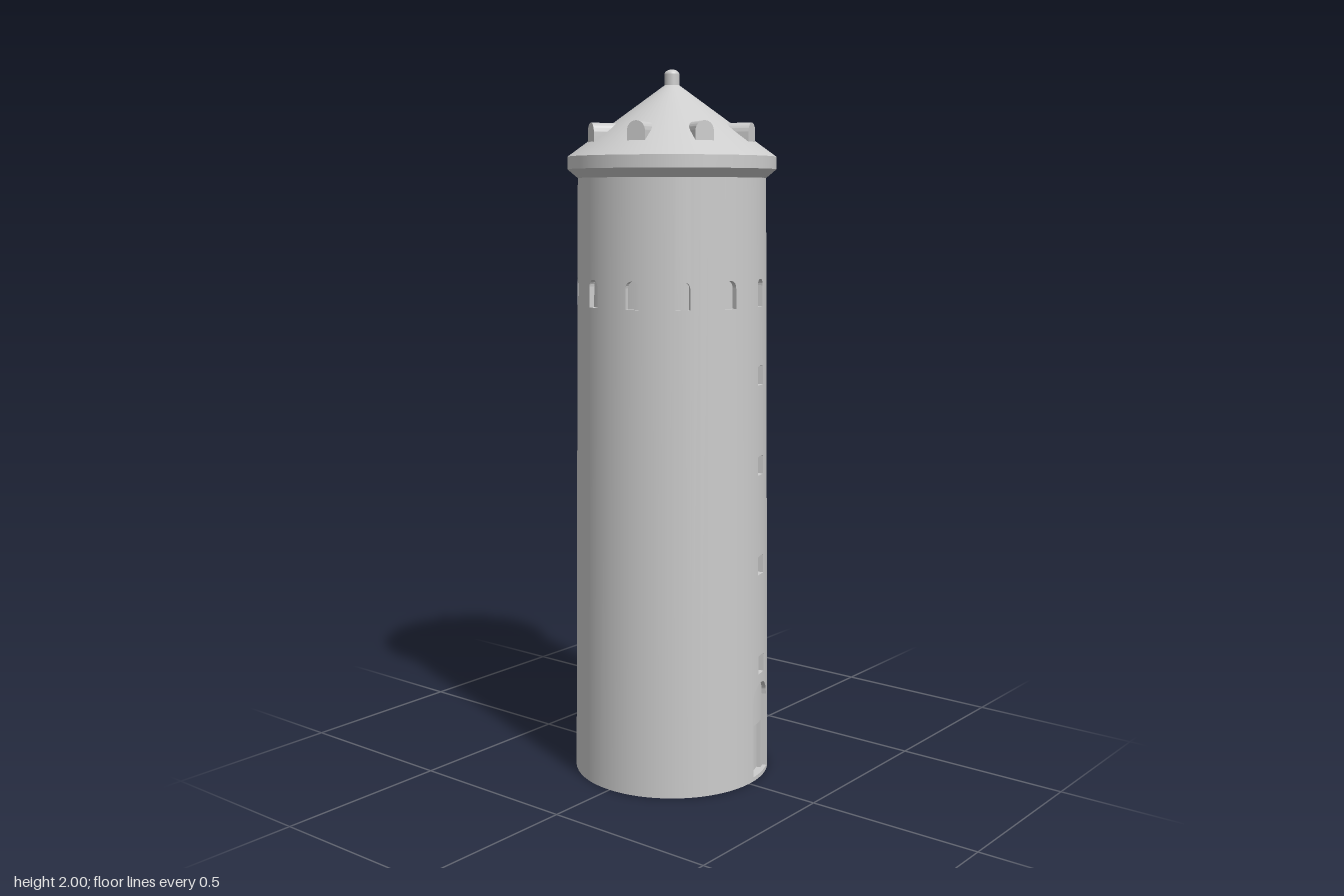
import * as THREE from 'three';
import { toCreasedNormals } from 'three/addons/utils/BufferGeometryUtils.js';

const rad = THREE.MathUtils.degToRad;
const WALL_TOP = 1.71;
const radiusAt = (y) => 0.282 - 0.0115 * y;

// Point on the tapered wall: angle in degrees from the front towards +x
function wallPoint(angle, y, depth) {
  const r = radiusAt(y) - depth;
  return [r * Math.sin(rad(angle)), y, r * Math.cos(rad(angle))];
}

// Recessed opening; rise is the height of its arched head
function opening(angle, half, bottom, spring, rise, depth, inner = []) {
  return {
    angle, half, depth, inner,
    lo: () => bottom,
    hi: (a) => spring + rise * Math.sqrt(Math.max(0, 1 - ((a - angle) / half) ** 2)),
  };
}

function makeOpenings() {
  const list = [];
  // Doorway with a smaller door set into it
  const door = opening(15, 6.2, 0.012, 0.155, 0, 0.012);
  list.push(opening(15, 10.8, 0.012, 0.228, 0.052, 0.012, [door]));
  // Two columns of small stair windows
  for (const angle of [15, 75]) {
    for (const y of [0.335, 0.625, 0.91, 1.163]) {
      list.push(opening(angle, 4.2, y - 0.027, y + 0.024, 0.003, 0.015));
    }
  }
  // Ring of arched windows
  for (let i = 0; i < 12; i++) list.push(opening(15 + 30 * i, 4.2, 1.354, 1.411, 0.019, 0.015));
  return list;
}

// Wall made of full-height columns, stepping inwards at each opening
function wallGeometries(openings) {
  const smooth = { pos: [], nor: [] };
  const reveal = { pos: [] };

  const pushQuad = (target, p) => {
    for (const i of [0, 1, 2, 0, 2, 3]) {
      target.pos.push(...p[i]);
      if (target.nor) {
        const l = Math.hypot(p[i][0], p[i][2]);
        target.nor.push(p[i][0] / l, 0, p[i][2] / l);
      }
    }
  };

  const face = (a, b, lo, hi, d) => pushQuad(smooth, [
    wallPoint(a, lo(a), d), wallPoint(b, lo(b), d), wallPoint(b, hi(b), d), wallPoint(a, hi(a), d),
  ]);

  const fill = (a, b, lo, hi, depth, holes) => {
    const mid = (a + b) / 2;
    let from = lo;
    for (const o of holes.filter((h) => Math.abs(mid - h.angle) < h.half)) {
      const d = depth + o.depth;
      face(a, b, from, o.lo, depth);
      fill(a, b, o.lo, o.hi, d, o.inner);
      // Sill and head
      const strip = (f) => [wallPoint(a, f(a), depth), wallPoint(b, f(b), depth),
        wallPoint(b, f(b), d), wallPoint(a, f(a), d)];
      pushQuad(reveal, strip(o.lo));
      pushQuad(reveal, strip(o.hi).reverse());
      // Jambs
      const jamb = (e) => [wallPoint(e, o.lo(e), depth), wallPoint(e, o.lo(e), d),
        wallPoint(e, o.hi(e), d), wallPoint(e, o.hi(e), depth)];
      if (Math.abs(a - (o.angle - o.half)) < 1e-3) pushQuad(reveal, jamb(a));
      if (Math.abs(b - (o.angle + o.half)) < 1e-3) pushQuad(reveal, jamb(b).reverse());
      from = o.hi;
    }
    face(a, b, from, hi, depth);
  };

  // Column edges: an even spacing plus the outline of every opening
  const edges = new Set();
  const addEdge = (a) => edges.add(Number(a.toFixed(4)));
  for (let a = 0; a <= 360; a += 5) addEdge(a);
  const addOpening = (o) => {
    for (let i = 0; i <= 10; i++) addEdge(o.angle - o.half * Math.cos((i * Math.PI) / 10));
    o.inner.forEach(addOpening);
  };
  openings.forEach(addOpening);
  const cuts = [...edges].sort((p, q) => p - q);
  for (let i = 0; i < cuts.length - 1; i++) {
    fill(cuts[i], cuts[i + 1], () => 0, () => WALL_TOP, 0, openings);
  }

  const wall = new THREE.BufferGeometry();
  wall.setAttribute('position', new THREE.Float32BufferAttribute(smooth.pos, 3));
  wall.setAttribute('normal', new THREE.Float32BufferAttribute(smooth.nor, 3));
  const reveals = new THREE.BufferGeometry();
  reveals.setAttribute('position', new THREE.Float32BufferAttribute(reveal.pos, 3));
  reveals.computeVertexNormals();
  return { wall, reveals };
}

// Round-topped dormer whose front is at z = 0
function dormerGeometry() {
  const w = 0.026, h = 0.028, length = 0.11;
  const shape = new THREE.Shape();
  shape.moveTo(-w, 0);
  shape.lineTo(w, 0);
  shape.lineTo(w, h);
  shape.absarc(0, h, w, 0, Math.PI, false);
  shape.lineTo(-w, 0);
  const geometry = new THREE.ExtrudeGeometry(shape, { depth: length, bevelEnabled: false, curveSegments: 16 });
  geometry.translate(0, 0, -length);
  return toCreasedNormals(geometry, rad(35));
}

export function createModel() {
  const model = new THREE.Group();
  model.name = 'waterTower';
  const stone = new THREE.MeshStandardMaterial({ color: 0xcccccc });
  stone.name = 'pale grey';

  const add = (name, geometry, y = 0) => {
    const mesh = new THREE.Mesh(geometry, stone);
    mesh.name = name;
    mesh.position.y = y;
    model.add(mesh);
    return mesh;
  };
  // Open tapered ring between two heights
  const ring = (name, r0, y0, r1, y1) =>
    add(name, new THREE.CylinderGeometry(r1, r0, y1 - y0, 72, 1, true), (y0 + y1) / 2);

  // Tower shaft
  const { wall, reveals } = wallGeometries(makeOpenings());
  add('towerWall', wall);
  add('openingReveals', reveals);
  add('towerBase', new THREE.CircleGeometry(radiusAt(0), 72).rotateX(Math.PI / 2));

  // Cornice and conical roof
  ring('corniceFlare', 0.26, 1.702, 0.291, 1.728);
  ring('corniceBand', 0.291, 1.728, 0.291, 1.762);
  add('roof', new THREE.ConeGeometry(0.291, 0.21, 72, 1, true), 1.762 + 0.105);

  // Dormers around the roof
  const dormer = dormerGeometry();
  for (let i = 0; i < 8; i++) {
    const angle = rad(15 + 45 * i);
    const mesh = add('dormer', dormer, 1.798);
    mesh.position.x = 0.237 * Math.sin(angle);
    mesh.position.z = 0.237 * Math.cos(angle);
    mesh.rotation.y = angle;
  }

  // Finial with a domed cap
  ring('finialPost', 0.021, 1.94, 0.021, 1.986);
  const cap = new THREE.SphereGeometry(0.021, 32, 10, 0, Math.PI * 2, 0, Math.PI / 2);
  add('finialCap', cap.scale(1, 0.014 / 0.021, 1), 1.986);

  return model;
}
